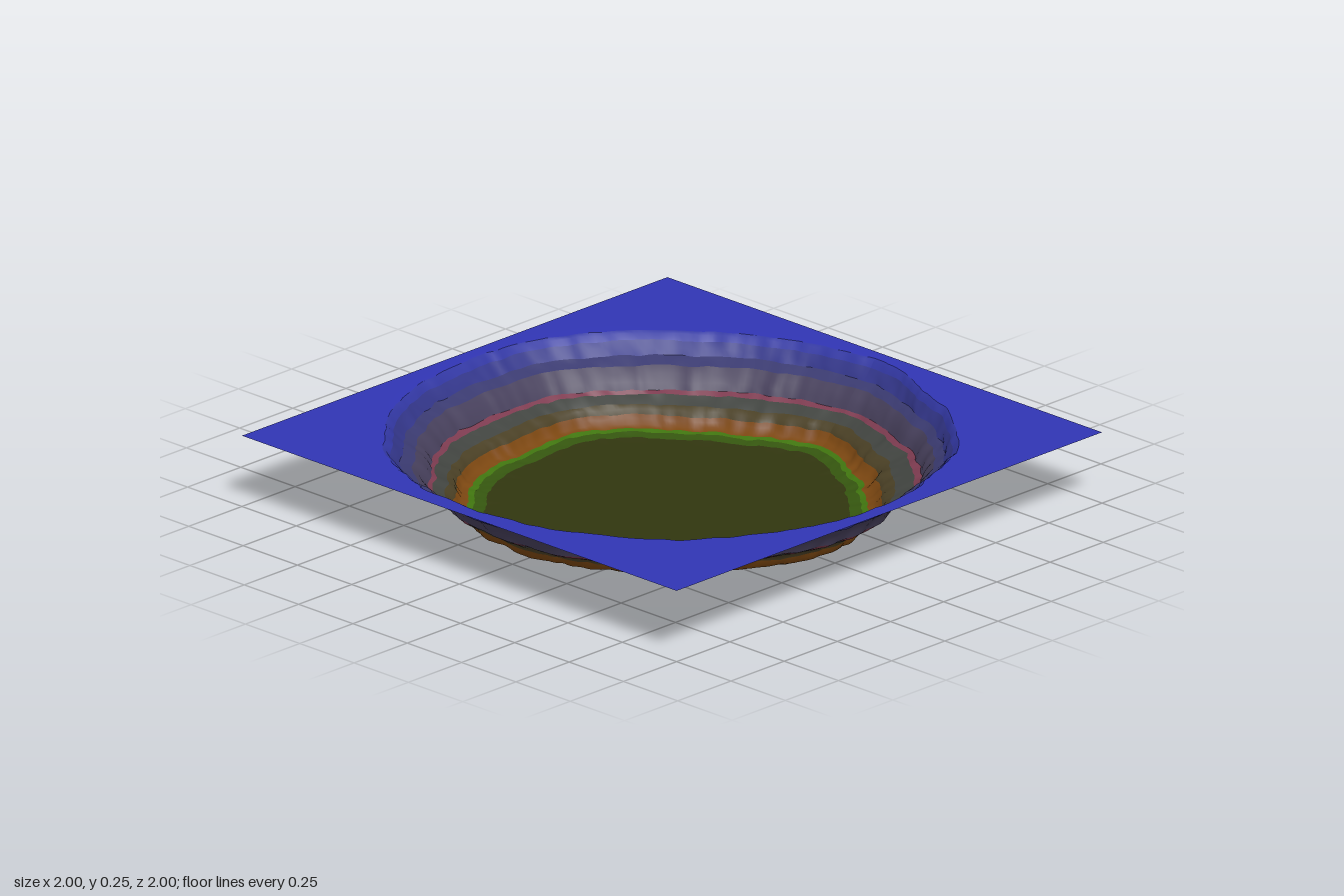
import * as THREE from 'three';

const SEGMENTS = 360; // divisible by 8, so the square's corners are hit exactly

// Irregular outlines of the basin, 16 radii around, starting at +x and turning towards +z
const FOOT = [.72, .67, .66, .68, .70, .66, .67, .67, .69, .70, .70, .69, .68, .72, .67, .67];
const LEDGE = [.82, .81, .82, .79, .81, .79, .80, .81, .80, .80, .80, .80, .80, .81, .77, .79];
const RIM = [.95, .92, .94, .93, .94, .94, .95, .94, .94, .95, .95, .94, .95, .96, .94, .94];

// Terraced bands from the floor outwards. Each row is [stage, height]:
// stage 0..1 scales the foot outline, 1..2 runs foot to ledge, 2..3 runs ledge to rim.
const BANDS = [
  { name: 'basinFloor', color: 0x31360f, rows: [[0, 0], [.3, 0], [.6, 0], [.8, 0], [.88, .001]] },
  { name: 'mossyEdge', color: 0x35560f, rows: [[.88, .001], [.91, .003], [.94, .006]] },
  { name: 'grassFringe', color: 0x40750f, rows: [[.94, .006], [.97, .01]] },
  { name: 'ochreFoot', color: 0x7c4711, rows: [[.97, .01], [1, .016], [1.1, .032], [1.17, .045]] },
  { name: 'lowerCliff', color: 0x4a4025, rows: [[1.17, .045], [1.25, .06], [1.45, .072]] },
  { name: 'lowerSlope', color: 0x414440, rows: [[1.45, .072], [1.65, .083], [1.85, .094]] },
  { name: 'roseLedge', color: 0x7d3b50, rows: [[1.85, .094], [2, .104]] },
  { name: 'middleCliff', color: 0x47405c, rows: [[2, .104], [2.08, .125], [2.2, .148], [2.35, .167]] },
  { name: 'upperTerrace', color: 0x3a3a70, rows: [[2.35, .167], [2.5, .178], [2.62, .186]] },
  { name: 'upperCliff', color: 0x33368a, rows: [[2.62, .186], [2.72, .205], [2.83, .225]] },
  { name: 'rimSlope', color: 0x3237a2, rows: [[2.83, .225], [2.92, .241], [3, .249]] },
];

// Smooth periodic interpolation through a list of radii
function sampleLoop(list, turn) {
  const n = list.length, f = turn * n, i = Math.floor(f), t = f - i;
  const [a, b, c, d] = [-1, 0, 1, 2].map((k) => list[(i + k + n) % n]);
  return b + .5 * t * (c - a + t * (2 * a - 5 * b + 4 * c - d + t * (3 * (b - c) + d - a)));
}

// Seeded hash in -1..1
function hash(n) {
  const s = Math.sin(n * 127.1 + 11.7) * 43758.5453;
  return 2 * (s - Math.floor(s)) - 1;
}

// Periodic value noise around the basin
function noise(turn, count, seed) {
  const f = turn * count, i = Math.floor(f), t = f - i;
  const s = t * t * (3 - 2 * t);
  return THREE.MathUtils.lerp(hash(i % count + seed), hash((i + 1) % count + seed), s);
}

function radiusAt(stage, turn) {
  const foot = sampleLoop(FOOT, turn), ledge = sampleLoop(LEDGE, turn), rim = sampleLoop(RIM, turn);
  let r = stage * foot;
  if (stage > 1) r = THREE.MathUtils.lerp(foot, ledge, stage - 1);
  if (stage > 2) r = THREE.MathUtils.lerp(ledge, rim, stage - 2);
  // Eroded gullies, sharing their lines up the slope and shifting from terrace to terrace
  const tier = Math.floor(stage * 1.5) * 300;
  const erosion = .009 * noise(turn, 48, 0) + .005 * noise(turn, 110, tier) + .003 * noise(turn, 180, tier + 500);
  return r + erosion * THREE.MathUtils.smoothstep(stage, .7, 1);
}

// One closed ring of points
function ring(stage, height) {
  const points = [];
  for (let j = 0; j <= SEGMENTS; j++) {
    const turn = (j % SEGMENTS) / SEGMENTS, angle = turn * Math.PI * 2;
    const r = radiusAt(stage, turn);
    const rough = stage > .8 && stage < 2.95 ? .003 * noise(turn, 120, Math.round(stage * 1000)) : 0;
    points.push(r * Math.cos(angle), Math.max(0, height + rough), r * Math.sin(angle));
  }
  return points;
}

// Ring that blends from the rim out to the square border
function plainRing(blend) {
  const points = [];
  for (let j = 0; j <= SEGMENTS; j++) {
    const turn = (j % SEGMENTS) / SEGMENTS, angle = turn * Math.PI * 2;
    const c = Math.cos(angle), s = Math.sin(angle);
    const border = 1 / Math.max(Math.abs(c), Math.abs(s));
    const r = THREE.MathUtils.lerp(Math.min(radiusAt(3, turn), border), border, blend);
    points.push(r * c, blend ? .25 : .249, r * s);
  }
  return points;
}

// Skin a list of rings, facing up
function skin(rings) {
  const geometry = new THREE.BufferGeometry(), index = [], w = SEGMENTS + 1;
  geometry.setAttribute('position', new THREE.Float32BufferAttribute(rings.flat(), 3));
  for (let i = 0; i < rings.length - 1; i++) {
    for (let j = 0; j < SEGMENTS; j++) {
      const a = i * w + j, b = a + w;
      index.push(a, a + 1, b, a + 1, b + 1, b);
    }
  }
  geometry.setIndex(index);
  geometry.computeVertexNormals();
  return geometry;
}

export function createModel() {
  const group = new THREE.Group();
  group.name = 'craterTerrain';

  const add = (name, color, rings) => {
    const material = new THREE.MeshStandardMaterial({ color, side: THREE.DoubleSide });
    const mesh = new THREE.Mesh(skin(rings), material);
    mesh.name = name;
    group.add(mesh);
  };

  // Floor and terraces
  for (const { name, color, rows } of BANDS) {
    add(name, color, rows.map(([stage, height]) => ring(stage, height)));
  }
  // Flat square plain around the basin
  add('surroundingPlain', 0x3135b4, [0, .3, 1].map(plainRing));

  return group;
}
